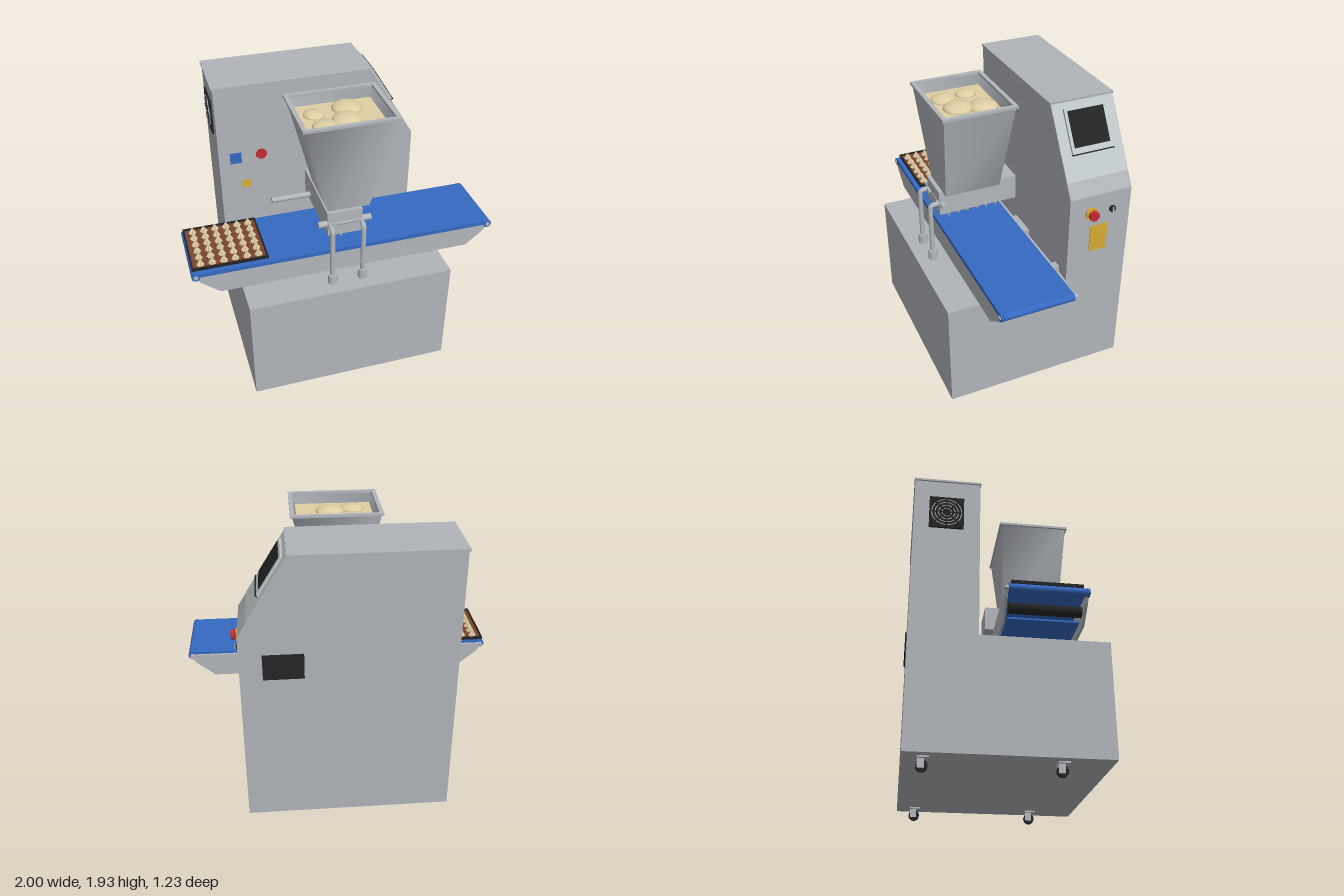
import * as THREE from 'three';

const mat = (name, color, side = THREE.FrontSide) => {
  const m = new THREE.MeshStandardMaterial({ color, side });
  m.name = name;
  return m;
};

export function createModel() {
  const body = mat('body grey', 0xb0b4b9);
  const steel = mat('steel', 0xb2b6bb, THREE.DoubleSide);
  const panel = mat('pale panel', 0xbfc6c8);
  const black = mat('black', 0x232425);
  const blue = mat('belt blue', 0x3569c2);
  const red = mat('red', 0xc42a30);
  const yellow = mat('yellow', 0xd6aa34);
  const brown = mat('tray brown', 0x7a4630);
  const cream = mat('dough cream', 0xe0cfa4);

  const root = new THREE.Group();
  const add = (name, geo, m, x = 0, y = 0, z = 0, parent = root) => {
    const mesh = new THREE.Mesh(geo, m);
    mesh.name = name;
    mesh.position.set(x, y, z);
    parent.add(mesh);
    return mesh;
  };
  // Box given by its minimum and maximum along each axis
  const box = (name, m, x0, x1, y0, y1, z0, z1, parent) =>
    add(name, new THREE.BoxGeometry(x1 - x0, y1 - y0, z1 - z0), m,
      (x0 + x1) / 2, (y0 + y1) / 2, (z0 + z1) / 2, parent);
  // Cylinder along a chosen axis
  const rod = (name, m, axis, r, len, x, y, z, parent, seg = 20, r2 = r) => {
    const g = new THREE.CylinderGeometry(r, r2, len, seg);
    if (axis === 'x') g.rotateZ(-Math.PI / 2);
    if (axis === 'z') g.rotateX(Math.PI / 2);
    return add(name, g, m, x, y, z, parent);
  };
  // Flat outline in x and y, extruded from z0 to z1
  const slab = (name, m, pts, z0, z1) => {
    const shape = new THREE.Shape(pts.map(([x, y]) => new THREE.Vector2(x, y)));
    return add(name, new THREE.ExtrudeGeometry(shape, { depth: z1 - z0, bevelEnabled: false }), m, 0, 0, z0);
  };

  // Cabinet: low base in front, tall tower with a sloped shoulder behind
  box('base', body, -0.69, 0.64, 0.085, 0.825, -0.185, 0.615);
  slab('tower', body, [[-0.69, 0.085], [0.64, 0.085], [0.64, 1.42], [0.33, 1.92], [-0.69, 1.92]], -0.607, -0.185);
  box('towerCap', body, -0.7, 0.335, 1.915, 1.928, -0.612, -0.18);

  // Casters
  for (const x of [-0.595, 0.545]) for (const z of [0.3, -0.5]) {
    const c = new THREE.Group();
    c.name = 'caster';
    c.position.set(x, 0, z);
    root.add(c);
    box('casterPlate', steel, -0.04, 0.04, 0.075, 0.086, -0.02, 0.05, c);
    rod('casterWheel', black, 'x', 0.035, 0.024, 0, 0.035, 0.01, c);
    for (const s of [-1, 1]) box('casterFork', steel, s * 0.018 - 0.004, s * 0.018 + 0.004, 0.02, 0.076, -0.016, 0.024, c);
  }

  // Front markers
  box('blueMarker', blue, -0.617, -0.542, 1.38, 1.455, -0.186, -0.179);
  const octagon = rod('redMarker', red, 'z', 0.038, 0.008, -0.41, 1.425, -0.182, root, 8);
  octagon.rotation.z = Math.PI / 8;
  box('yellowMarker', yellow, -0.55, -0.493, 1.187, 1.243, -0.186, -0.179);

  // Right side controls
  rod('stopCollar', yellow, 'x', 0.042, 0.016, 0.648, 1.297, -0.335);
  rod('stopStem', red, 'x', 0.02, 0.02, 0.663, 1.297, -0.335);
  rod('stopButton', red, 'x', 0.032, 0.025, 0.676, 1.297, -0.335);
  rod('switchDial', black, 'x', 0.022, 0.014, 0.647, 1.297, -0.48);
  box('switchHandle', steel, 0.654, 0.662, 1.277, 1.317, -0.484, -0.476);
  box('warningPlate', yellow, 0.638, 0.644, 1.01, 1.2, -0.455, -0.335);

  // Touch screen lying on the sloped shoulder (local x points out, y points up the slope)
  const screen = new THREE.Group();
  screen.name = 'touchScreen';
  screen.position.set(0.427, 1.763, -0.395);
  screen.rotation.z = Math.atan2(0.31, 0.5);
  root.add(screen);
  box('shoulderPlate', panel, -0.002, 0.003, -0.29, 0.185, -0.21, 0.208, screen).position.y = -0.06;
  box('screenFrame', panel, 0, 0.018, -0.14, 0.14, -0.14, 0.14, screen);
  box('screenGlass', black, 0.017, 0.023, -0.102, 0.122, -0.12, 0.12, screen);
  box('screenLip', black, 0, 0.024, -0.146, -0.138, -0.14, 0.14, screen);

  // Rear label plate and left side fan
  box('rearPlate', black, 0.25, 0.5, 1.13, 1.297, -0.617, -0.606);
  const fan = new THREE.Group();
  fan.name = 'fan';
  fan.position.set(-0.69, 1.675, -0.4);
  root.add(fan);
  box('fanFrame', black, -0.012, 0.002, -0.115, 0.115, -0.11, 0.11, fan);
  for (const r of [0.03, 0.052, 0.074, 0.096])
    add('fanRing', new THREE.TorusGeometry(r, 0.0035, 6, 28).rotateY(Math.PI / 2), steel, -0.013, 0, 0, fan);
  for (let i = 0; i < 4; i++) {
    const spoke = box('fanSpoke', black, -0.018, -0.012, -0.1, 0.1, -0.004, 0.004, fan);
    spoke.rotation.x = i * Math.PI / 4;
  }

  // Conveyor side panels, belt and rollers
  const panelShape = [[-0.975, 0.985], [-0.945, 0.94], [-0.83, 0.845], [0.83, 0.845], [0.945, 0.94], [0.975, 0.985], [0.975, 1.0], [-0.975, 1.0]];
  slab('conveyorFrontPanel', steel, panelShape, 0.403, 0.418);
  slab('conveyorRearPanel', steel, panelShape, -0.065, -0.05);
  box('beltTop', blue, -0.975, 0.975, 0.987, 1.015, -0.05, 0.403);
  box('beltFrontEdge', blue, -0.975, 0.975, 0.987, 1.015, 0.403, 0.42);
  box('beltReturn', blue, -0.83, 0.83, 0.868, 0.88, -0.035, 0.39);
  for (const s of [-1, 1]) {
    rod('beltEnd', blue, 'z', 0.025, 0.453, s * 0.975, 0.99, 0.1765);
    rod('endAxle', blue, 'z', 0.027, 0.014, s * 0.973, 0.99, 0.414);
    rod('endAxleCap', steel, 'z', 0.014, 0.5, s * 0.973, 0.99, 0.177);
    rod('tensionRoller', black, 'z', 0.033, 0.43, s * 0.875, 0.913, 0.178);
  }
  for (const [a, b] of [[-0.55, -0.5], [-0.107, 0.1], [0.49, 0.545]])
    box('conveyorBracket', body, a, b, 0.82, 0.87, -0.19, -0.02);

  // Baking tray with six rows of piped dough stars
  box('trayBase', brown, -0.985, -0.515, 1.014, 1.024, -0.03, 0.382);
  for (const x of [-0.99, -0.52]) box('trayRim', black, x, x + 0.01, 1.014, 1.034, -0.035, 0.388);
  for (const z of [-0.035, 0.378]) box('trayRim', black, -0.99, -0.51, 1.014, 1.034, z, z + 0.01);
  const star = new THREE.Shape();
  for (let i = 0; i < 16; i++) {
    const a = i * Math.PI / 8, r = i % 2 ? 0.018 : 0.028;
    star[i ? 'lineTo' : 'moveTo'](r * Math.cos(a), r * Math.sin(a));
  }
  const starGeo = new THREE.ExtrudeGeometry(star, { depth: 0.042, bevelEnabled: false }).rotateX(-Math.PI / 2);
  const sp = starGeo.attributes.position;
  for (let i = 0; i < sp.count; i++) {
    const k = 1 - 0.92 * sp.getY(i) / 0.042;
    sp.setX(i, sp.getX(i) * k);
    sp.setZ(i, sp.getZ(i) * k);
  }
  starGeo.computeVertexNormals();
  for (let i = 0; i < 6; i++) for (let j = 0; j < 6; j++)
    add('doughStar', starGeo, cream, -0.93 + i * 0.073, 1.023, 0.008 + j * 0.067);

  // Manifold, nozzles and side pipe
  box('manifold', steel, -0.144, 0.08, 1.152, 1.318, -0.085, 0.447);
  for (let j = 0; j < 6; j++) {
    const z = 0.015 + j * 0.067;
    rod('nozzleCollar', steel, 'y', 0.028, 0.025, -0.03, 1.142, z);
    rod('nozzleTip', steel, 'y', 0.026, 0.07, -0.03, 1.096, z, root, 16, 0.008);
  }
  rod('sidePipe', steel, 'x', 0.018, 0.27, -0.265, 1.193, 0.03);

  // Cross bar and the two posts that carry the manifold
  rod('crossBar', steel, 'x', 0.021, 0.34, -0.03, 1.233, 0.43);
  for (const x of [-0.13, 0.07]) {
    rod('postCollar', steel, 'y', 0.03, 0.065, x, 0.857, 0.507);
    const path = new THREE.CurvePath();
    const v = (y, z) => new THREE.Vector3(x, y, z);
    path.add(new THREE.LineCurve3(v(0.85, 0.507), v(1.205, 0.507)));
    path.add(new THREE.QuadraticBezierCurve3(v(1.205, 0.507), v(1.233, 0.507), v(1.233, 0.48)));
    path.add(new THREE.LineCurve3(v(1.233, 0.48), v(1.233, 0.43)));
    add('post', new THREE.TubeGeometry(path, 40, 0.016, 14), steel);
  }
  for (const x of [-0.1, 0.055]) rod('bolt', steel, 'z', 0.016, 0.02, x, 1.233, 0.452);

  // Hopper: tapered four-sided shell, half sizes [x, z] at top and bottom
  const hopperZ = 0.2375;
  const frustum = (top, bottom, y0, y1) => {
    const g = new THREE.CylinderGeometry(1, 1, 1, 4, 1, true, Math.PI / 4);
    const p = g.attributes.position;
    for (let i = 0; i < p.count; i++) {
      const up = p.getY(i) > 0, [hx, hz] = up ? top : bottom;
      p.setXYZ(i, Math.sign(p.getX(i)) * hx, up ? y1 : y0, Math.sign(p.getZ(i)) * hz);
    }
    g.computeVertexNormals();
    return g;
  };
  add('hopperShell', frustum([0.282, 0.227], [0.134, 0.183], 1.315, 1.915), steel, 0, 0, hopperZ);
  add('hopperLining', frustum([0.268, 0.213], [0.12, 0.17], 1.315, 1.915), steel, 0, 0, hopperZ);
  for (const s of [-1, 1]) {
    box('hopperRim', steel, s * 0.28 - 0.014, s * 0.28 + 0.014, 1.91, 1.926, 0, 0.475);
    const z = hopperZ + s * 0.2245;
    box('hopperRim', steel, -0.266, 0.266, 1.91, 1.926, z - 0.013, z + 0.013);
  }

  // Dough in the hopper
  box('doughFill', cream, -0.25, 0.25, 1.81, 1.85, 0.038, 0.437);
  for (const [x, z, r] of [[-0.145, 0.165, 0.068], [0.068, 0.133, 0.095], [0.027, 0.28, 0.095], [-0.12, 0.322, 0.08]]) {
    const blob = add('doughBlob', new THREE.SphereGeometry(r, 14, 10), cream, x, 1.85, z);
    blob.scale.y = 0.4;
  }
  return root;
}
